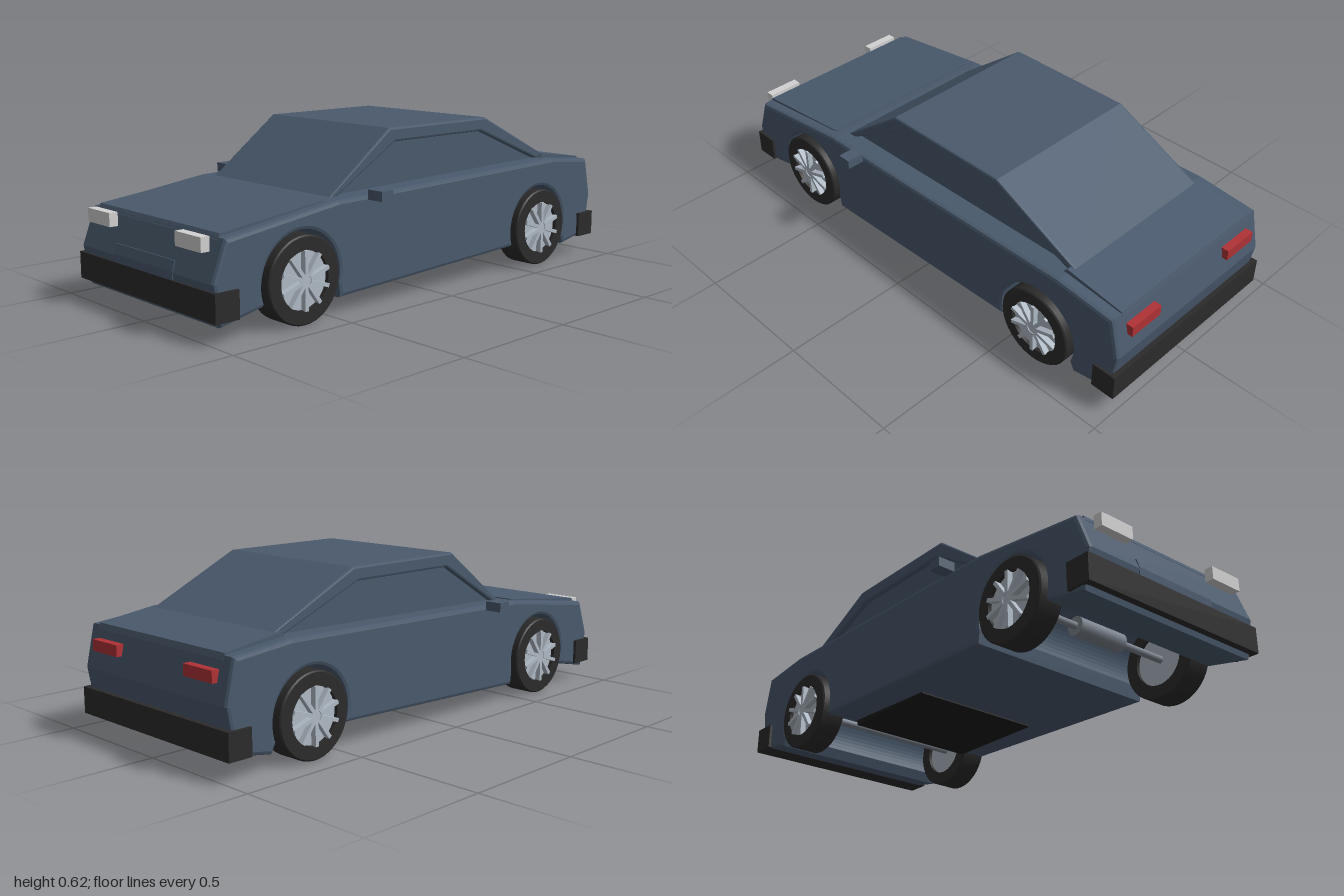
import * as THREE from 'three';
import { toCreasedNormals } from 'three/addons/utils/BufferGeometryUtils.js';

const mat = (name, color) => {
  const m = new THREE.MeshStandardMaterial({ color });
  m.name = name;
  return m;
};

export function createModel() {
  const paint = mat('slate paint', 0x4a5a6d);
  const rubber = mat('black rubber', 0x2b2b2b);
  const alloy = mat('pale alloy', 0xb0bbc6);
  const steel = mat('grey steel', 0x7d8690);
  const lamp = mat('lamp glass', 0xd2d2d2);
  const red = mat('tail red', 0xb03236);
  const under = mat('underside black', 0x1b1b1b);

  const car = new THREE.Group();
  car.name = 'car';

  const add = (name, geo, material, parent = car) => {
    const m = new THREE.Mesh(geo, material);
    m.name = name;
    parent.add(m);
    return m;
  };
  // Box given by its min and max on each axis
  const box = (name, x, y, z, material) => {
    const m = add(name, new THREE.BoxGeometry(x[1] - x[0], y[1] - y[0], z[1] - z[0]), material);
    m.position.set((x[0] + x[1]) / 2, (y[0] + y[1]) / 2, (z[0] + z[1]) / 2);
    return m;
  };
  const outline = (pts) => new THREE.Shape(pts.map(([z, y]) => new THREE.Vector2(z, y)));
  // Side profile (z, y) extruded across the car's width
  const slab = (name, shape, half, bevel, material) => {
    const geo = new THREE.ExtrudeGeometry(shape, {
      depth: 2 * (half - bevel), curveSegments: 20, bevelEnabled: bevel > 0,
      bevelThickness: bevel, bevelSize: bevel, bevelOffset: -bevel, bevelSegments: 2,
    });
    geo.translate(0, 0, -(half - bevel));
    geo.rotateY(-Math.PI / 2);
    return add(name, geo, material);
  };

  const axleZ = 0.635, axleY = 0.155, arch = 0.168;

  // Lower body with open wheel arches
  const body = new THREE.Shape();
  body.moveTo(0.97, 0.055);
  body.lineTo(0.998, 0.2);
  body.lineTo(0.945, 0.34);
  body.lineTo(0.47, 0.402);
  body.lineTo(-0.72, 0.428);
  body.lineTo(-0.96, 0.405);
  body.lineTo(-0.995, 0.25);
  body.lineTo(-0.965, 0.085);
  body.lineTo(-0.81, 0.057);
  const archAt = (z, rearY, frontY) => {
    const a0 = Math.PI - Math.asin((rearY - axleY) / arch);
    const a1 = Math.asin((frontY - axleY) / arch);
    body.absarc(z, axleY, arch, a0, a1, true);
  };
  archAt(-axleZ, 0.095, 0.1);
  body.lineTo(-0.46, 0.095);
  body.lineTo(0.465, 0.06);
  archAt(axleZ, 0.115, 0.1);
  body.lineTo(0.8, 0.09);
  slab('body', body, 0.402, 0.014, paint);

  // Hood and trunk lid
  slab('hood', outline([[0.95, 0.33], [0.938, 0.352], [0.5, 0.402], [0.5, 0.38]]), 0.36, 0, paint);
  slab('trunkLid', outline([[-0.7, 0.42], [-0.72, 0.445], [-0.958, 0.412], [-0.965, 0.39], [-0.7, 0.39]]),
    0.352, 0, paint);

  // Cabin: roof shell standing proud of the recessed side windows
  const inner = [[0.415, 0.4], [0.13, 0.568], [-0.345, 0.568], [-0.7, 0.425]];
  slab('roofShell', outline([[0.46, 0.395], [0.16, 0.62], [-0.37, 0.62], [-0.76, 0.432],
    ...inner.slice().reverse()]), 0.334, 0.008, paint);
  slab('sideWindows', outline([[0.44, 0.39], [0.145, 0.595], [-0.355, 0.595], [-0.73, 0.42]]),
    0.312, 0, paint);

  // Nose panel and bumpers
  slab('nosePanel', outline([[0.95, 0.17], [0.998, 0.17], [0.999, 0.205], [0.987, 0.24], [0.95, 0.24]]),
    0.177, 0, paint);
  box('frontBumper', [-0.413, 0.413], [0.076, 0.175], [0.905, 1], rubber);
  box('rearBumper', [-0.413, 0.413], [0.076, 0.175], [-1, -0.905], rubber);

  // Floor panel
  box('floorPanel', [-0.27, 0.27], [0.073, 0.1], [-0.45, -0.02], under);

  // Wheel pieces, built along y and turned to face +x
  const turned = (geo) => geo.rotateZ(-Math.PI / 2);
  const ring = [[0.103, -0.052], [0.15, -0.052], [0.155, -0.047], [0.155, 0.047], [0.15, 0.052],
    [0.103, 0.052], [0.103, -0.052]].map(([r, y]) => new THREE.Vector2(r, y));
  const tyreGeo = turned(toCreasedNormals(new THREE.LatheGeometry(ring, 40), 0.5));
  const rimGeo = turned(new THREE.CylinderGeometry(0.104, 0.104, 0.075, 40));
  const hubGeo = turned(new THREE.CylinderGeometry(0.024, 0.024, 0.03, 16));
  const spokeGeo = new THREE.BoxGeometry(0.022, 0.085, 0.014).translate(0, 0.062, 0);

  for (const side of [1, -1]) {
    const s = side > 0 ? 'left' : 'right';
    const span = (a, b) => (side > 0 ? [a, b] : [-b, -a]);
    box(s + 'Headlight', span(0.2, 0.343), [0.295, 0.345], [0.966, 1], lamp);
    box(s + 'TailLight', span(0.19, 0.338), [0.318, 0.36], [-1, -0.965], red);
    box(s + 'Mirror', span(0.406, 0.475), [0.39, 0.426], [0.282, 0.336], paint);

    for (const end of [1, -1]) {
      const wheel = new THREE.Group();
      wheel.name = s + (end > 0 ? 'Front' : 'Rear') + 'Wheel';
      wheel.position.set(side * 0.364, axleY, end * axleZ);
      wheel.rotation.y = side > 0 ? 0 : Math.PI;
      add('tyre', tyreGeo, rubber, wheel);
      add('rim', rimGeo, alloy, wheel);
      add('hub', hubGeo, alloy, wheel).position.x = 0.043;
      for (let i = 0; i < 10; i++) {
        const spoke = add('spoke', spokeGeo, alloy, wheel);
        spoke.position.x = 0.05;
        spoke.rotation.x = (i * Math.PI) / 5;
      }
      car.add(wheel);
    }
  }

  // Axles, with a thicker drum at the middle of the front one
  const rod = (name, r, length, z) => {
    add(name, turned(new THREE.CylinderGeometry(r, r, length, 16)), steel).position.set(0, axleY, z);
  };
  rod('frontAxle', 0.014, 0.68, axleZ);
  rod('rearAxle', 0.014, 0.68, -axleZ);
  rod('frontDrum', 0.036, 0.22, axleZ);

  return car;
}
